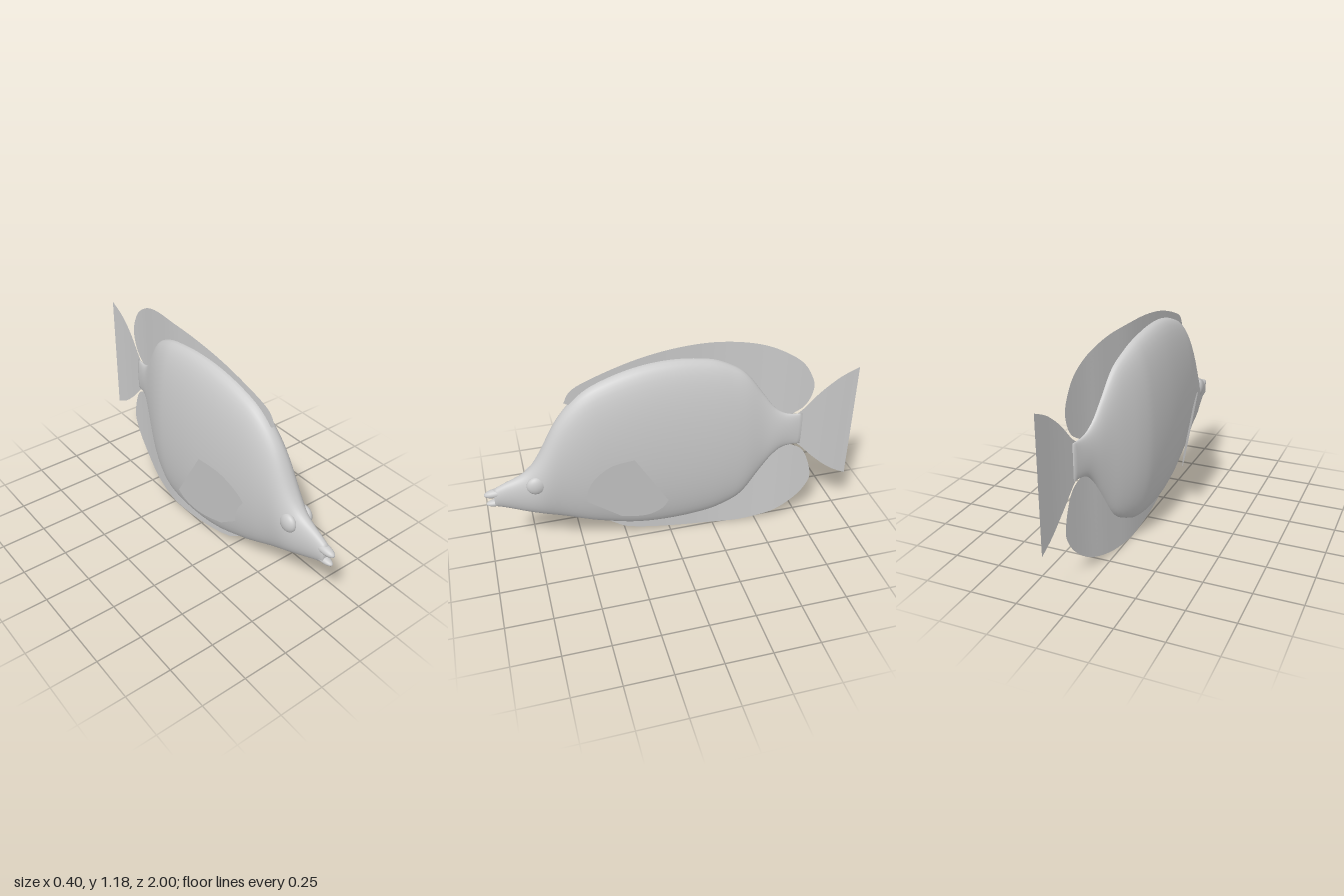
import * as THREE from 'three';

// Smooth interpolation through rows [z, v1, v2...] sorted by falling z
function sample(rows, z, k) {
  const n = rows.length;
  let i = 0;
  while (i < n - 2 && z < rows[i + 1][0]) i++;
  const slope = (a, b) => (rows[b][k] - rows[a][k]) / (rows[b][0] - rows[a][0]);
  const m0 = slope(Math.max(i - 1, 0), i + 1);
  const m1 = slope(i, Math.min(i + 2, n - 1));
  const h = rows[i + 1][0] - rows[i][0];
  const t = THREE.MathUtils.clamp((z - rows[i][0]) / h, 0, 1), t2 = t * t, t3 = t2 * t;
  return (2 * t3 - 3 * t2 + 1) * rows[i][k] + (t3 - 2 * t2 + t) * h * m0
    + (3 * t2 - 2 * t3) * rows[i + 1][k] + (t3 - t2) * h * m1;
}

// Swimming bend of the spine: [z, x]
const SPINE = [[1, 0.015], [0.75, 0.018], [0.5, 0.008], [0.2, -0.005], [0, -0.01], [-0.2, -0.007],
  [-0.3, 0.003], [-0.4, 0.02], [-0.5, 0.038], [-0.6, 0.06], [-0.7, 0.075], [-0.85, 0.09], [-1, 0.096]];
const spine = (z) => sample(SPINE, z, 1);

// Body stations: [z, top y, bottom y, half width]
const BODY = [
  [0.95, 0.505, 0.405, 0.026], [0.9, 0.53, 0.388, 0.034], [0.8, 0.572, 0.345, 0.052],
  [0.75, 0.61, 0.325, 0.064], [0.7, 0.68, 0.305, 0.075], [0.6, 0.86, 0.265, 0.087],
  [0.5, 0.975, 0.22, 0.1], [0.4, 1.04, 0.18, 0.109], [0.2, 1.1, 0.12, 0.118],
  [0, 1.117, 0.1, 0.12], [-0.2, 1.095, 0.115, 0.113], [-0.3, 1.06, 0.15, 0.1],
  [-0.4, 0.995, 0.22, 0.078], [-0.5, 0.86, 0.38, 0.05], [-0.55, 0.79, 0.46, 0.039],
  [-0.6, 0.748, 0.515, 0.029], [-0.65, 0.732, 0.533, 0.02], [-0.71, 0.73, 0.535, 0.01],
];

// Geometry from a grid of points; wrap joins the last column to the first
function gridGeometry(rows, cols, wrap, point) {
  const pos = [], index = [];
  for (let i = 0; i < rows; i++) for (let j = 0; j < cols; j++) pos.push(...point(i, j));
  for (let i = 0; i < rows - 1; i++) {
    for (let j = 0; j < (wrap ? cols : cols - 1); j++) {
      const k = (j + 1) % cols;
      const a = i * cols + j, b = i * cols + k, c = a + cols, d = b + cols;
      index.push(a, c, b, b, c, d);
    }
  }
  const g = new THREE.BufferGeometry();
  g.setAttribute('position', new THREE.Float32BufferAttribute(pos, 3));
  g.setIndex(index);
  g.computeVertexNormals();
  return g;
}

function bodyGeometry() {
  const N = 90, S = 48;
  return gridGeometry(N + 3, S, true, (i, j) => {
    const u = THREE.MathUtils.clamp((i - 1) / N, 0, 1);
    const z = 0.95 - 1.66 * u;
    const cap = i === 0 || i === N + 2 ? 0.001 : 1; // closes both ends
    const top = sample(BODY, z, 1), bottom = sample(BODY, z, 2), w = sample(BODY, z, 3);
    const t = (j / S) * Math.PI * 2, c = Math.cos(t);
    const x = Math.sign(c) * Math.pow(Math.abs(c), 0.9) * w;
    return [spine(z) + x * cap, (top + bottom) / 2 + Math.sin(t) * cap * (top - bottom) / 2, z];
  });
}

const curve = (pts) => new THREE.SplineCurve(pts.map(([z, y]) => new THREE.Vector2(z, y)));

// Thin fin stretched between two side outlines (z, y), following the spine
function finGeometry(outer, inner) {
  const a = curve(outer), b = curve(inner), p = new THREE.Vector2();
  return gridGeometry(73, 15, false, (i, j) => {
    p.copy(a.getPoint(i / 72)).lerp(b.getPoint(i / 72), j / 14);
    return [spine(p.x), p.y, p.x];
  });
}

// Side fin: flat outline leaning away from the body
function pectoralGeometry(side, base, leanY, leanZ) {
  const s = new THREE.Shape();
  s.moveTo(0.3, 0.265);
  s.lineTo(0.48, 0.39);
  s.splineThru([[0.472, 0.48], [0.43, 0.57], [0.35, 0.65], [0.24, 0.69]].map((q) => new THREE.Vector2(...q)));
  s.lineTo(0.06, 0.38);
  s.splineThru([[0.09, 0.322], [0.15, 0.277], [0.22, 0.262], [0.3, 0.265]].map((q) => new THREE.Vector2(...q)));
  const g = new THREE.ShapeGeometry(s, 10), pos = g.attributes.position;
  for (let i = 0; i < pos.count; i++) {
    const z = pos.getX(i), y = pos.getY(i);
    pos.setXYZ(i, side * (base + leanY * (y - 0.265) + leanZ * (z - 0.3)), y, z);
  }
  g.computeVertexNormals();
  return g;
}

export function createModel() {
  const group = new THREE.Group();
  const skin = new THREE.MeshStandardMaterial({ color: 0xcccccc });
  const finSkin = new THREE.MeshStandardMaterial({ color: 0xcccccc, side: THREE.DoubleSide });
  const add = (name, geometry, material = skin) => {
    const mesh = new THREE.Mesh(geometry, material);
    mesh.name = name;
    group.add(mesh);
    return mesh;
  };

  add('body', bodyGeometry());

  // Parted lips and eye bulges
  const ellipsoid = (name, x, y, z, rx, ry, rz, tilt = 0) => {
    const m = add(name, new THREE.SphereGeometry(1, 28, 18));
    m.position.set(x, y, z);
    m.scale.set(rx, ry, rz);
    m.rotation.x = tilt;
  };
  ellipsoid('upperLip', 0.015, 0.484, 0.93, 0.027, 0.024, 0.07, 0.08);
  ellipsoid('lowerLip', 0.015, 0.424, 0.93, 0.024, 0.019, 0.064, 0.05);
  for (const s of [-1, 1]) {
    ellipsoid(s > 0 ? 'leftEye' : 'rightEye', 0.017 + s * 0.051, 0.53, 0.73, 0.03, 0.052, 0.052);
  }

  // Fins along the back, belly and tail
  add('dorsalFin', finGeometry(
    [[0.55, 0.965], [0.51, 1.03], [0.4, 1.08], [0.2, 1.14], [0, 1.175], [-0.2, 1.186], [-0.4, 1.172],
      [-0.55, 1.13], [-0.68, 1.05], [-0.745, 0.95], [-0.757, 0.87], [-0.72, 0.78], [-0.64, 0.725]],
    [[0.5, 0.93], [0.42, 0.97], [0.3, 1], [0.2, 1.02], [0, 1.03], [-0.15, 1.02], [-0.25, 0.98],
      [-0.35, 0.92], [-0.42, 0.86], [-0.48, 0.8], [-0.53, 0.75], [-0.57, 0.72], [-0.61, 0.7]]), finSkin);
  add('analFin', finGeometry(
    [[0.4, 0.185], [0.32, 0.13], [0.25, 0.085], [0.1, 0.045], [-0.1, 0.015], [-0.3, 0.003], [-0.45, 0.018],
      [-0.6, 0.07], [-0.72, 0.165], [-0.78, 0.255], [-0.79, 0.32], [-0.765, 0.42], [-0.72, 0.5], [-0.64, 0.54]],
    [[0.38, 0.22], [0.3, 0.2], [0.2, 0.18], [0.1, 0.18], [0, 0.18], [-0.15, 0.2], [-0.25, 0.23],
      [-0.32, 0.28], [-0.38, 0.34], [-0.44, 0.4], [-0.49, 0.46], [-0.53, 0.5], [-0.57, 0.54], [-0.61, 0.56]]), finSkin);
  add('tailFin', finGeometry(
    [[-0.62, 0.7], [-0.7, 0.745], [-0.8, 0.855], [-0.9, 0.935], [-1, 0.983]],
    [[-0.62, 0.57], [-0.7, 0.53], [-0.8, 0.43], [-0.9, 0.345], [-1, 0.29]]), finSkin);

  // Side fins, held slightly differently
  add('leftPectoralFin', pectoralGeometry(1, 0.113, 0.17, -0.21), finSkin);
  add('rightPectoralFin', pectoralGeometry(-1, 0.1, 0.19, -0.31), finSkin);
  return group;
}
